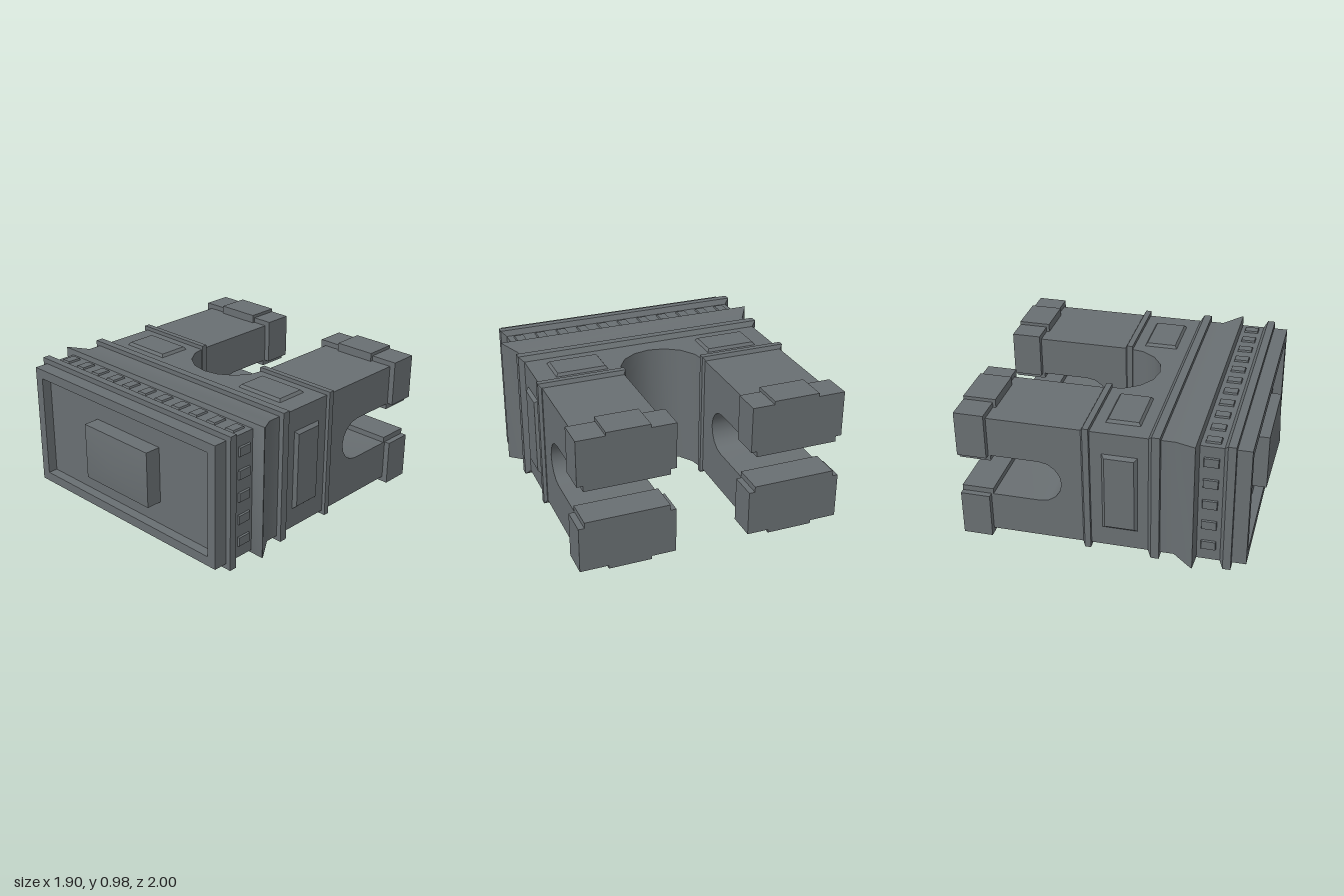
import * as THREE from 'three';
import { toCreasedNormals } from 'three/addons/utils/BufferGeometryUtils.js';

const material = new THREE.MeshStandardMaterial({ color: 0x696f72 });
const YC = 0.49; // mid height
const HX = 0.865, HY = 0.429; // half size of the masonry block
const GAP = 0.295; // half width of the great arch

// Solid from centred rectangles [z, halfX, halfY], listed with rising z
function loft(sections) {
  const pos = [];
  const rings = sections.map(([z, x, y]) => [[-x, -y, z], [x, -y, z], [x, y, z], [-x, y, z]]);
  const quad = (a, b, c, d) => pos.push(...a, ...b, ...c, ...a, ...c, ...d);
  for (let i = 0; i + 1 < rings.length; i++) {
    for (let j = 0; j < 4; j++) {
      const k = (j + 1) % 4;
      quad(rings[i][j], rings[i][k], rings[i + 1][k], rings[i + 1][j]);
    }
  }
  const [a, b, c, d] = rings[0];
  quad(d, c, b, a);
  quad(...rings[rings.length - 1]);
  const g = new THREE.BufferGeometry();
  g.setAttribute('position', new THREE.Float32BufferAttribute(pos, 3));
  g.computeVertexNormals();
  return g;
}

// Raised plate with bevelled rim; its back is sunk into the wall
const plate = (hx, hy, height, bevel) =>
  loft([[-0.01, hx, hy], [0, hx, hy], [height, hx - bevel, hy - bevel]]);

const boxBetween = (x0, x1, y0, y1, z0, z1) =>
  new THREE.BoxGeometry(x1 - x0, y1 - y0, z1 - z0)
    .translate((x0 + x1) / 2, (y0 + y1) / 2, (z0 + z1) / 2);

function extrude(points, depth) {
  const shape = new THREE.Shape(points.map(([x, y]) => new THREE.Vector2(x, y)));
  return new THREE.ExtrudeGeometry(shape, { depth, bevelEnabled: false });
}

export function createModel() {
  const root = new THREE.Group();
  const add = (name, geometry) => {
    const mesh = new THREE.Mesh(geometry, material);
    mesh.name = name;
    root.add(mesh);
  };

  // Main block with the curved head of the great arch
  const body = [[-HX, -0.15], [-HX, 0.85], [HX, 0.85], [HX, -0.15]];
  for (let i = 0; i <= 8; i++) {
    const a = (i / 8) * Math.PI;
    body.push([GAP * Math.cos(a), -0.15 + 0.298 * Math.sin(a)]);
  }
  add('mainBlock', toCreasedNormals(
    extrude(body, HY * 2).rotateX(Math.PI / 2).translate(0, YC + HY, 0), 0.6));

  // Piers pierced by the smaller side arches
  const pier = [[0.15, YC - HY], [0.99, YC - HY], [0.99, YC - 0.15]];
  for (let i = 0; i <= 8; i++) {
    const a = (i / 8) * Math.PI;
    pier.push([0.46 - 0.15 * Math.sin(a), YC - 0.15 * Math.cos(a)]);
  }
  pier.push([0.99, YC + 0.15], [0.99, YC + HY], [0.15, YC + HY]);
  for (const s of [-1, 1]) {
    const x = s > 0 ? GAP : -HX;
    add('archedPier', toCreasedNormals(
      extrude(pier, HX - GAP).rotateY(Math.PI / 2).translate(x, 0, 0), 0.6));

    // Impost band around each pier
    add('impostBand', loft([
      [-0.17, 0.285, HY], [-0.155, 0.305, 0.456], [-0.115, 0.305, 0.456],
    ]).translate(s * 0.585, YC, 0));

    // Two feet per pier, each with an outer tab and an inner lip
    const [tab0, tab1] = s > 0 ? [0.423, 0.713] : [-0.72, -0.405];
    for (const t of [-1, 1]) {
      const foot = new THREE.Group();
      foot.name = 'foot';
      const y = (a, b) => (t > 0 ? [a, b] : [-b, -a]);
      const parts = {
        footBlock: boxBetween(s * 0.58 - 0.325, s * 0.58 + 0.325, ...y(0.15, 0.465), -1, -0.8),
        footOuterTab: boxBetween(tab0, tab1, ...y(0.4, 0.488), -1, -0.78),
        footInnerLip: boxBetween(s * 0.58 - 0.285, s * 0.58 + 0.285, ...y(0.111, 0.2), -1, -0.785),
      };
      for (const [name, g] of Object.entries(parts)) {
        const mesh = new THREE.Mesh(g, material);
        mesh.name = name;
        foot.add(mesh);
      }
      foot.position.y = YC;
      root.add(foot);
    }
  }

  // Mouldings running round the block
  add('lowerMoulding', loft([
    [0.267, HX, HY], [0.293, 0.9, 0.462], [0.347, 0.9, 0.462],
  ]).translate(0, YC, 0));
  add('flaredCornice', toCreasedNormals(loft([
    [0.34, HX + 0.001, HY + 0.001], [0.44, HX + 0.001, HY + 0.001],
    [0.57, 0.949, 0.46], [0.577, 0.949, 0.46], [0.59, HX, HY],
  ]), 0.7).translate(0, YC, 0));
  add('upperMoulding', loft([
    [0.745, HX, HY], [0.77, 0.902, 0.465], [0.822, 0.902, 0.465],
  ]).translate(0, YC, 0));

  // Raised frame round the recessed end face
  const frame = new THREE.Shape([[-HX, -HY], [HX, -HY], [HX, HY], [-HX, HY]]
    .map(p => new THREE.Vector2(...p)));
  frame.holes.push(new THREE.Path([[-0.8, -0.363], [-0.8, 0.363], [0.8, 0.363], [0.8, -0.363]]
    .map(p => new THREE.Vector2(...p))));
  add('endFrame', new THREE.ExtrudeGeometry(frame, { depth: 0.068, bevelEnabled: false })
    .translate(0, YC, 0.85));

  // Boss with a shallow, softly shaded pyramid top
  add('pyramidBoss', toCreasedNormals(loft([
    [0.84, 0.302, 0.197], [0.96, 0.302, 0.197], [1, 0, 0],
  ]), 0.7).translate(0, YC, 0));

  // Plates and dentils on the two wide faces and the two narrow faces
  for (const s of [-1, 1]) {
    const onWide = (name, g, x, z) =>
      add(name, g.rotateX(-s * Math.PI / 2).translate(x, YC + s * HY, z));
    const onNarrow = (name, g, y, z) =>
      add(name, g.rotateY(s * Math.PI / 2).translate(s * HX, y, z));

    for (const t of [-1, 1]) onWide('widePanel', plate(0.182, 0.115, 0.02, 0.014), t * 0.55 - 0.003, 0.073);
    onNarrow('narrowPanel', plate(0.118, 0.282, 0.022, 0.02), 0.482, 0.08);

    for (let i = -5; i <= 5; i++) onWide('wideDentil', plate(0.036, 0.05, 0.012, 0.004), i * 0.1575 - 0.002, 0.666);
    for (let i = -2; i <= 2; i++) onNarrow('narrowDentil', plate(0.05, 0.034, 0.012, 0.004), YC + i * 0.1575, 0.666);
  }
  return root;
}
